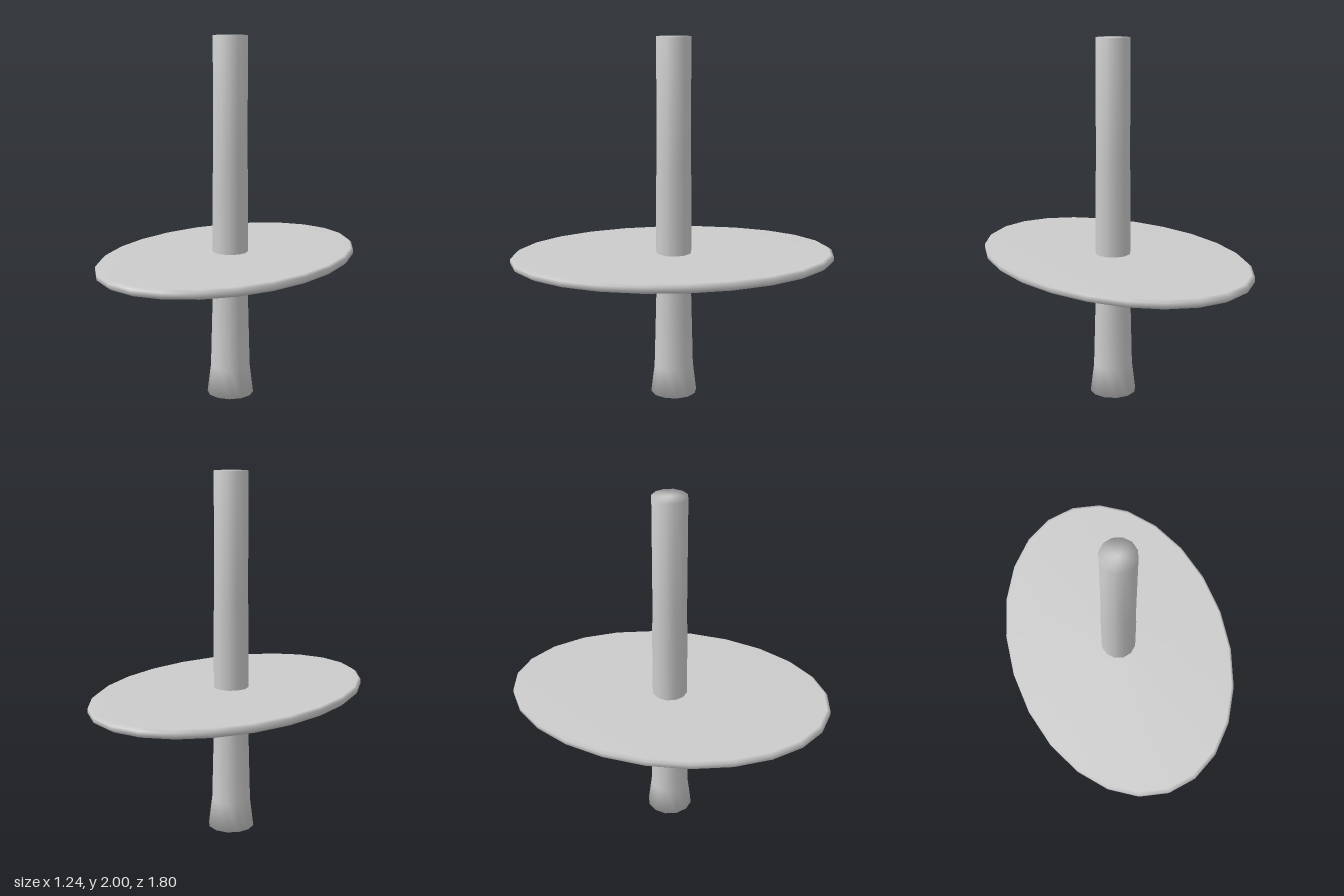
import * as THREE from 'three';

const material = new THREE.MeshStandardMaterial({ color: 0xcccccc });

// Turns a [radius, height] profile, listed from bottom to top, into a solid
function turned(name, profile, sides) {
  const points = profile.map(([r, y]) => new THREE.Vector2(r, y));
  const mesh = new THREE.Mesh(new THREE.LatheGeometry(points, sides), material);
  mesh.name = name;
  return mesh;
}

export function createModel() {
  const model = new THREE.Group();
  model.name = 'postWithOvalDisc';

  // Slim post with a flared foot and closed ends
  model.add(turned('post', [
    [0, 0], [0.13, 0], [0.11, 0.16], [0.098, 0.6],
    [0.098, 1.2], [0.094, 1.32], [0.094, 2], [0, 2],
  ], 12));

  // Thin oval disc with a softened rim, longer along z
  const disc = turned('ovalDisc', [
    [0, 0.77], [0.88, 0.77], [0.9, 0.783],
    [0.9, 0.807], [0.88, 0.82], [0, 0.82],
  ], 24);
  disc.geometry.scale(0.62 / 0.9, 1, 1);
  model.add(disc);

  return model;
}
